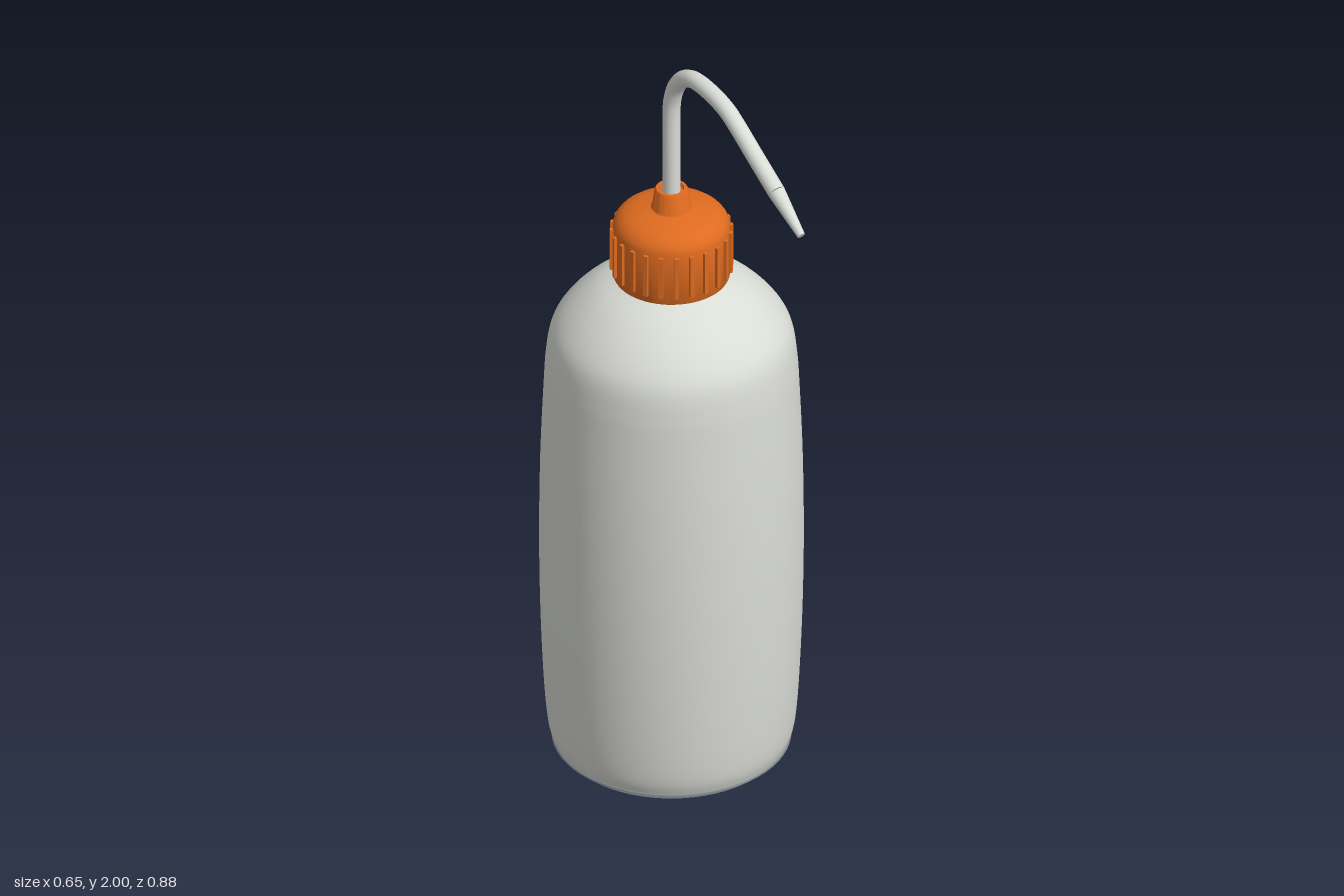
import * as THREE from 'three';
import { toCreasedNormals } from 'three/addons/utils/BufferGeometryUtils.js';

const AXIS_Z = -0.12; // bottle axis

const v2 = (list) => list.map(([r, y]) => new THREE.Vector2(r, y));

function mesh(name, geometry, material, parent) {
  const m = new THREE.Mesh(geometry, material);
  m.name = name;
  parent.add(m);
  return m;
}

export function createModel() {
  const plastic = new THREE.MeshStandardMaterial({ color: 0xdadcd6 });
  plastic.name = 'translucent white plastic';
  const orange = new THREE.MeshStandardMaterial({ color: 0xdf6b20 });
  orange.name = 'orange plastic';
  const seamGrey = new THREE.MeshStandardMaterial({ color: 0x84949a });
  seamGrey.name = 'blue grey seam';

  const model = new THREE.Group();
  model.name = 'washBottle';
  const bottle = new THREE.Group();
  bottle.name = 'bottle';
  bottle.position.z = AXIS_Z;
  model.add(bottle);

  // Body: smooth spline wall
  const wall = new THREE.SplineCurve(v2([
    [0.289, 0.034], [0.302, 0.08], [0.312, 0.2], [0.32, 0.4], [0.323, 0.62], [0.32, 0.85],
    [0.312, 1.05], [0.307, 1.13], [0.297, 1.195], [0.275, 1.24], [0.235, 1.287],
    [0.185, 1.328], [0.13, 1.355], [0.105, 1.366],
  ])).getPoints(60);
  mesh('body', new THREE.LatheGeometry(wall, 64), plastic, bottle);

  // Base with rounded edge and a shallow recess underneath
  const base = v2([
    [0, 0.014], [0.19, 0.012], [0.215, 0.003], [0.23, 0], [0.25, 0.003],
    [0.272, 0.012], [0.284, 0.022], [0.288, 0.028],
  ]);
  mesh('base', new THREE.LatheGeometry(base, 64), plastic, bottle);
  mesh('baseSeam', new THREE.LatheGeometry(v2([[0.288, 0.028], [0.293, 0.03], [0.289, 0.034]]), 64), seamGrey, bottle);

  // Screw cap: skirt, domed top and tapered collar
  const cap = new THREE.LatheGeometry(v2([
    [0.1, 1.362], [0.141, 1.362], [0.143, 1.366], [0.143, 1.505], [0.139, 1.518], [0.13, 1.53],
    [0.115, 1.542], [0.09, 1.55], [0.05, 1.558], [0.048, 1.562], [0.041, 1.607],
    [0.038, 1.612], [0.031, 1.612], [0.028, 1.604], [0.015, 1.604],
  ]), 64);
  mesh('cap', toCreasedNormals(cap, 0.6), orange, bottle);

  // Grip ribs around the cap
  const ribs = new THREE.Group();
  ribs.name = 'capRibs';
  bottle.add(ribs);
  const ribGeometry = new THREE.BoxGeometry(0.011, 0.115, 0.014);
  for (let i = 0; i < 24; i++) {
    const a = (i / 24) * Math.PI * 2;
    const rib = mesh('capRib', ribGeometry, orange, ribs);
    rib.position.set(Math.sin(a) * 0.144, 1.441, Math.cos(a) * 0.144);
    rib.rotation.y = a;
  }

  // Bent spout tube
  const path = new THREE.CatmullRomCurve3([
    [-0.12, 1.57], [-0.12, 1.7], [-0.12, 1.83], [-0.116, 1.87], [-0.1, 1.915], [-0.07, 1.953],
    [-0.035, 1.972], [0, 1.978], [0.07, 1.973], [0.12, 1.96], [0.15, 1.945], [0.24, 1.89], [0.328, 1.837],
  ].map(([z, y]) => new THREE.Vector3(0, y, z)), false, 'centripetal');
  mesh('spoutTube', new THREE.TubeGeometry(path, 90, 0.022, 20), plastic, model);

  // Tapered tip
  const from = new THREE.Vector3(0, 1.837, 0.328);
  const to = new THREE.Vector3(0, 1.766, 0.434);
  const dir = to.clone().sub(from);
  const tip = mesh('spoutTip', new THREE.CylinderGeometry(0.01, 0.022, dir.length(), 20), plastic, model);
  tip.position.copy(from).add(to).multiplyScalar(0.5);
  tip.quaternion.setFromUnitVectors(new THREE.Vector3(0, 1, 0), dir.normalize());

  return model;
}
